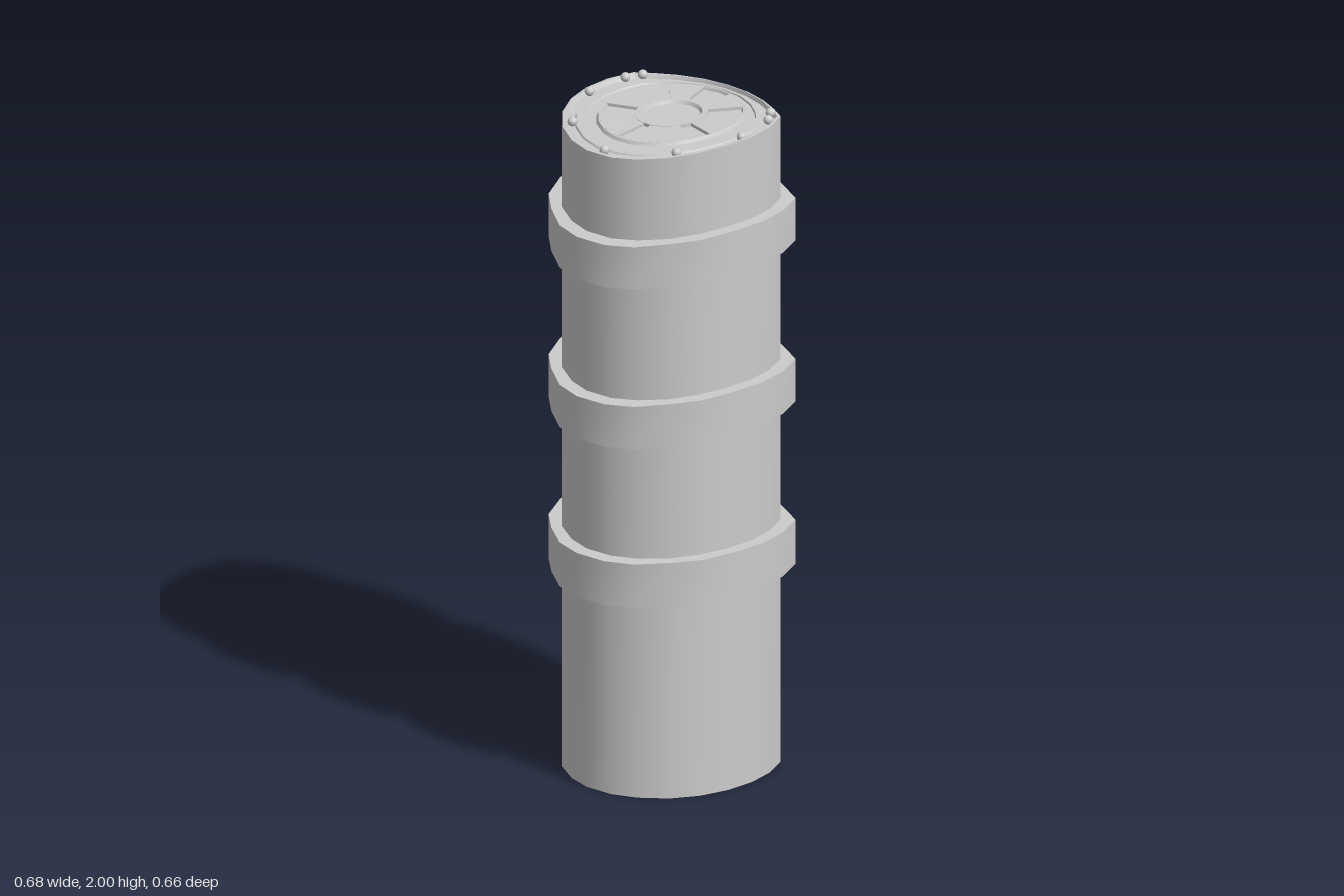
import * as THREE from 'three';
import { toCreasedNormals } from 'three/addons/utils/BufferGeometryUtils.js';

const CZ = -0.04, RX = 0.2, RZ = 0.225; // centre and radii of the oval plate

// Outlines as [x, z], front to back on the left side, then mirrored
const mirror = (half, back) => [
  ...half, back, ...half.map(([x, z]) => [-x, z]).reverse(),
];
const bodyOutline = mirror([
  [0.045, 0.292], [0.12, 0.266], [0.195, 0.215], [0.25, 0.145], [0.286, 0.06], [0.302, -0.03],
  [0.296, -0.12], [0.268, -0.203], [0.218, -0.235], [0.155, -0.267], [0.08, -0.29],
], [0, -0.297]);
const bandOutline = mirror([
  [0.05, 0.331], [0.137, 0.302], [0.217, 0.238], [0.281, 0.17], [0.321, 0.068], [0.341, -0.032],
  [0.335, -0.13], [0.304, -0.226], [0.25, -0.26], [0.178, -0.303], [0.092, -0.327],
], [0, -0.334]);
const ovalOutline = bodyOutline.map(([x, z]) => {
  const a = Math.atan2((z - CZ) / RZ, x / RX);
  return [Math.cos(a) * RX, CZ + Math.sin(a) * RZ];
});

// Surfaces dip toward the front
const dip = (z, amount) => amount * Math.max(0, z / 0.3) ** 2;
const topY = (z) => 1.985 - dip(z, 0.028);

// Joins closed loops of [x, y, z] bottom to top; optional end caps
function loft(loops, cap = true) {
  const pos = [];
  const n = loops[0].length;
  const tri = (...p) => p.forEach((v) => pos.push(...v));
  for (let k = 0; k + 1 < loops.length; k++) {
    for (let i = 0; i < n; i++) {
      const j = (i + 1) % n, a = loops[k], b = loops[k + 1];
      tri(a[i], a[j], b[j]);
      tri(a[i], b[j], b[i]);
    }
  }
  if (cap) {
    const lo = loops[0], hi = loops[loops.length - 1];
    const mid = (l) => [0, 1, 2].map((c) => l.reduce((s, p) => s + p[c], 0) / n);
    const cl = mid(lo), ch = mid(hi);
    for (let i = 0; i < n; i++) {
      const j = (i + 1) % n;
      tri(cl, lo[j], lo[i]);
      tri(ch, hi[i], hi[j]);
    }
  }
  const g = new THREE.BufferGeometry();
  g.setAttribute('position', new THREE.Float32BufferAttribute(pos, 3));
  return toCreasedNormals(g, 0.5);
}

export function createModel() {
  const group = new THREE.Group();
  const material = new THREE.MeshStandardMaterial({ color: 0xcccccc });
  const add = (name, geometry, parent = group) => {
    const mesh = new THREE.Mesh(geometry, material);
    mesh.name = name;
    parent.add(mesh);
    return mesh;
  };

  // Column with rim, stepped border, oval plate and hub on its top
  const lidLoop = (outline, h) => outline.map(([x, z]) => [x, topY(z) + h, z]);
  const blend = (t) => bodyOutline.map(([x, z], i) => [
    x + (ovalOutline[i][0] - x) * t, z + (ovalOutline[i][1] - z) * t,
  ]);
  const ovalScaled = (s) => ovalOutline.map(([x, z]) => [x * s, CZ + (z - CZ) * s]);
  const border = [
    [0, 0], [0.09, 0], [0.16, -0.012], [0.36, -0.012], [0.39, -0.007],
    [0.65, -0.007], [0.68, -0.012], [0.95, -0.012], [1, -0.003],
  ];
  const plate = [
    [0.975, -0.003], [0.96, -0.012], [0.5, -0.012], [0.5, -0.002], [0.42, -0.002], [0.395, -0.012],
  ];
  add('column', loft([
    bodyOutline.map(([x, z]) => [x, 0, z]),
    ...border.map(([t, h]) => lidLoop(blend(t), h)),
    ...plate.map(([s, h]) => lidLoop(ovalScaled(s), h)),
  ]));

  // Three bands around the column
  [[0.61, 0.745, 0.012], [1.11, 1.24, 0.022], [1.605, 1.735, 0.026]].forEach(([y0, y1, d], i) => {
    const loop = (outline, y) => outline.map(([x, z]) => [x, y - dip(z, d), z]);
    const inner = bodyOutline.map(([x, z]) => [x * 0.98, z * 0.98]);
    add(`band${i + 1}`, loft([
      loop(inner, y0), loop(bandOutline, y0), loop(bandOutline, y1), loop(inner, y1),
    ], false));
  });

  // Raised panels between the slots of the oval plate
  const panels = new THREE.Group();
  panels.name = 'panels';
  group.add(panels);
  [[-76, -46.5], [-26, 16], [35, 83]].forEach(([from, to]) => {
    [[from, to], [180 - to, 180 - from]].forEach(([a0, a1]) => {
      const arc = (s, flip) => Array.from({ length: 7 }, (_, i) => {
        const a = THREE.MathUtils.degToRad(a0 + (a1 - a0) * (flip ? 6 - i : i) / 6);
        return new THREE.Vector2(Math.cos(a) * RX * s, Math.sin(a) * RZ * s);
      });
      const shape = new THREE.Shape([...arc(0.97, false), ...arc(0.49, true)]);
      const g = new THREE.ExtrudeGeometry(shape, { depth: 0.012, bevelEnabled: false });
      g.rotateX(Math.PI / 2).translate(0, -0.003, CZ);
      const p = g.attributes.position;
      for (let i = 0; i < p.count; i++) p.setY(i, p.getY(i) + topY(p.getZ(i)));
      g.computeVertexNormals();
      add('panel', g, panels);
    });
  });

  // Studs along the rim
  const studs = new THREE.Group();
  studs.name = 'studs';
  group.add(studs);
  const studGeometry = new THREE.SphereGeometry(0.014, 16, 12);
  [
    [0.228, -0.207], [-0.237, -0.207], [0.257, -0.16], [-0.263, -0.16], [0.277, -0.013],
    [-0.277, -0.013], [0.191, 0.178], [-0.187, 0.178], [0, 0.267],
  ].forEach(([x, z]) => add('stud', studGeometry, studs).position.set(x, topY(z), z));

  return group;
}
